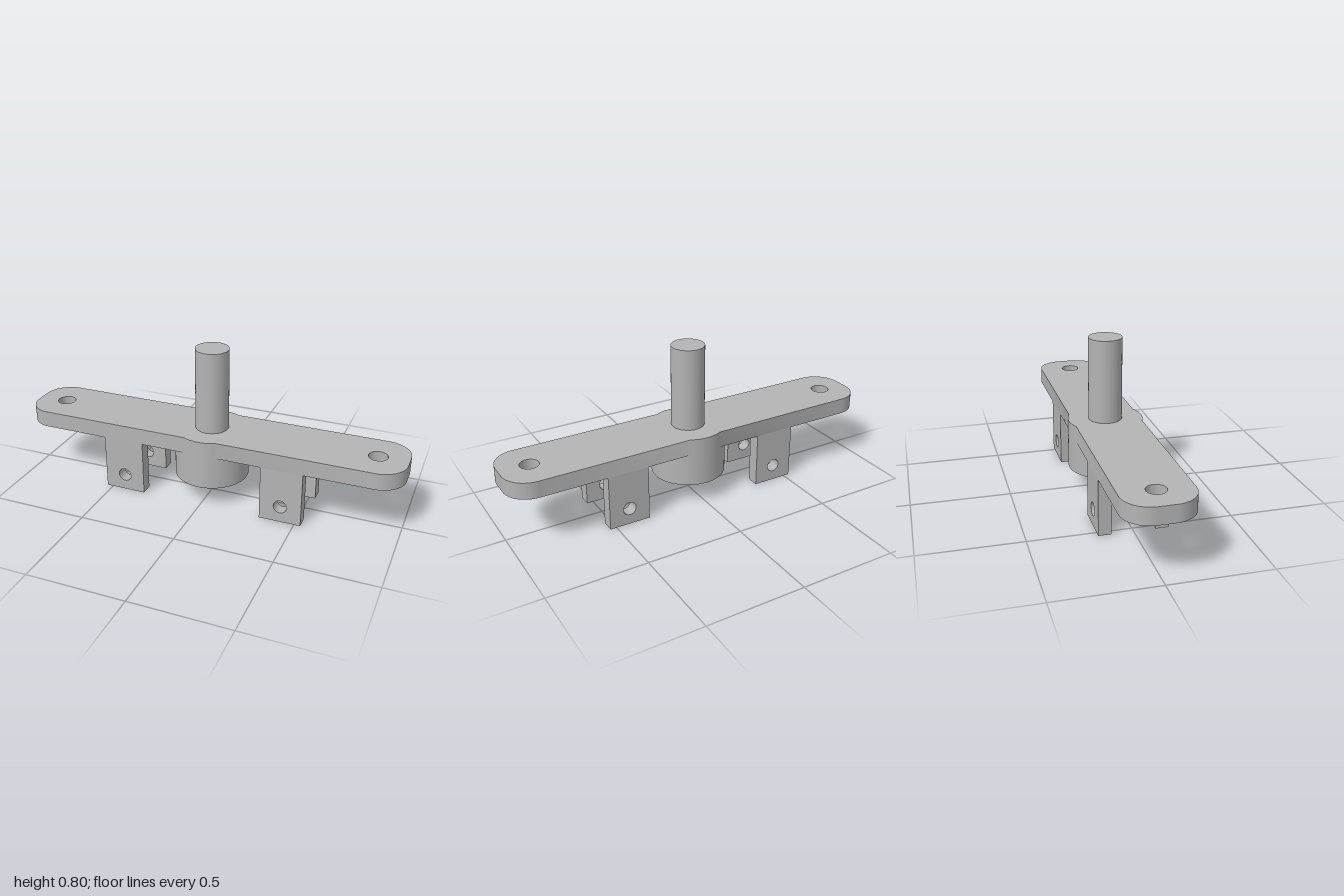
import * as THREE from 'three';
import { toCreasedNormals } from 'three/addons/utils/BufferGeometryUtils.js';

const PLATE_BOTTOM = 0.285, PLATE_TOP = 0.37, HALF_WIDTH = 0.17, BOSS_RADIUS = 0.19;

function addHole(shape, x, y, radius) {
  shape.holes.push(new THREE.Path().absarc(x, y, radius, 0, Math.PI * 2, true));
}

function extrude(shape, depth) {
  const geometry = new THREE.ExtrudeGeometry(shape, { depth, bevelEnabled: false, curveSegments: 24 });
  return toCreasedNormals(geometry, 0.5);
}

// Rounded bar whose long sides swell around the central boss
function plateShape() {
  const r = 0.13, x = 1 - r, y = HALF_WIDTH - r;
  const swell = Math.asin(HALF_WIDTH / BOSS_RADIUS);
  const shape = new THREE.Shape();
  shape.absarc(0, 0, BOSS_RADIUS, -Math.PI + swell, -swell, false);
  shape.absarc(x, -y, r, -Math.PI / 2, 0, false);
  shape.absarc(x, y, r, 0, Math.PI / 2, false);
  shape.absarc(0, 0, BOSS_RADIUS, swell, Math.PI - swell, false);
  shape.absarc(-x, y, r, Math.PI / 2, Math.PI, false);
  shape.absarc(-x, -y, r, Math.PI, Math.PI * 1.5, false);
  shape.closePath();
  for (const side of [-1, 1]) addHole(shape, side * 0.85, 0, 0.047);
  return shape;
}

// Square lug with a pin hole
function lugShape() {
  const w = 0.107;
  const shape = new THREE.Shape();
  shape.moveTo(-w, 0);
  shape.lineTo(w, 0);
  shape.lineTo(w, PLATE_BOTTOM);
  shape.lineTo(-w, PLATE_BOTTOM);
  shape.closePath();
  addHole(shape, 0, 0.085, 0.034);
  return shape;
}

export function createModel() {
  const group = new THREE.Group();
  const metal = new THREE.MeshStandardMaterial({ color: 0xb4b4b4 });
  metal.name = 'grey metal';

  const add = (name, geometry, x, y, z) => {
    const mesh = new THREE.Mesh(geometry, metal);
    mesh.name = name;
    mesh.position.set(x, y, z);
    group.add(mesh);
  };

  // Mounting plate
  const plate = extrude(plateShape(), PLATE_TOP - PLATE_BOTTOM).rotateX(-Math.PI / 2);
  add('plate', plate, 0, PLATE_BOTTOM, 0);

  // Boss below and shaft above the plate
  const bossBottom = 0.115, shaftTop = 0.795;
  add('boss', new THREE.CylinderGeometry(BOSS_RADIUS, BOSS_RADIUS, PLATE_BOTTOM - bossBottom, 64),
    0, (PLATE_BOTTOM + bossBottom) / 2, 0);
  add('shaft', new THREE.CylinderGeometry(0.085, 0.085, shaftTop - PLATE_TOP, 48),
    0, (shaftTop + PLATE_TOP) / 2, 0);

  // Two pairs of lugs
  const lugDepth = 0.064;
  const lug = extrude(lugShape(), lugDepth);
  for (const [sideName, x] of [['left', 0.425], ['right', -0.425]]) {
    add(sideName + 'FrontLug', lug, x, 0, HALF_WIDTH - lugDepth);
    add(sideName + 'BackLug', lug, x, 0, -HALF_WIDTH);
  }
  return group;
}
